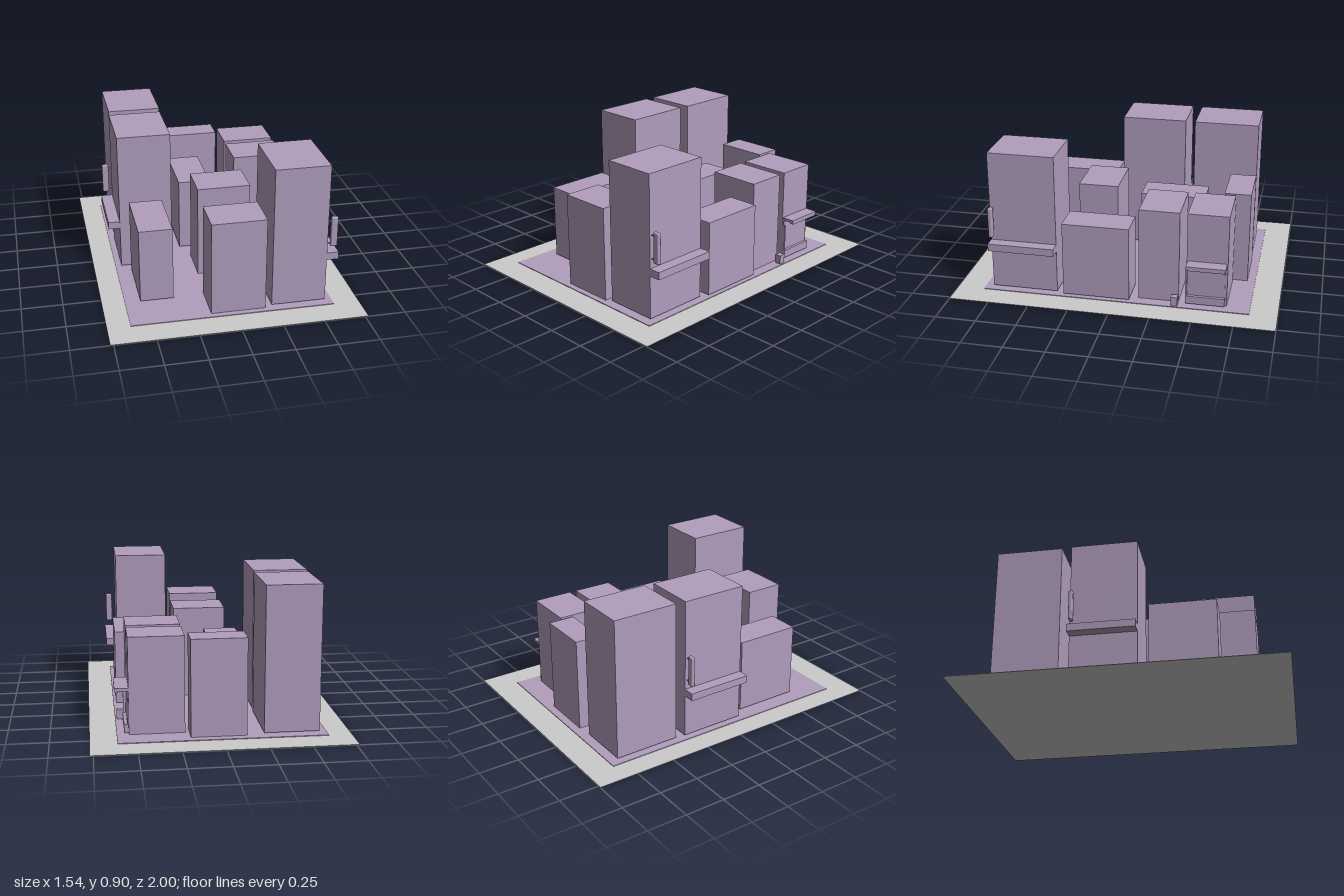
import * as THREE from 'three';
import { RoundedBoxGeometry } from 'three/addons/geometries/RoundedBoxGeometry.js';

export function createModel() {
  const model = new THREE.Group();
  const grey = new THREE.MeshStandardMaterial({ color: 0xcccccc });
  const purple = new THREE.MeshStandardMaterial({ color: 0xb19dbd });

  // Box given by its limits along each axis
  function box(name, [x0, x1], [y0, y1], [z0, z1], parent = model, material = purple) {
    const mesh = new THREE.Mesh(new THREE.BoxGeometry(x1 - x0, y1 - y0, z1 - z0), material);
    mesh.position.set((x0 + x1) / 2, (y0 + y1) / 2, (z0 + z1) / 2);
    mesh.name = name;
    parent.add(mesh);
    return mesh;
  }

  // Ground and paved block
  box('ground', [-0.77, 0.77], [0, 0.003], [-1, 1], model, grey);
  box('pavement', [-0.63, 0.61], [0.003, 0.007], [-0.83, 0.83]);

  // Three kinds of building: [bottom, top] and centres on the plan
  const kinds = [
    { name: 'tower', y: [0.015, 0.9], size: [0.333, 0.413],
      at: [[-0.42, -0.567], [-0.427, -0.092], [0.4, 0.572]] },
    { name: 'midBlock', y: [0.005, 0.597], size: [0.333, 0.25],
      at: [[0.372, -0.562], [0.372, -0.267], [0.04, 0.18], [0.025, 0.667]] },
    { name: 'lowBlock', y: [0.018, 0.487], size: [0.205, 0.413],
      at: [[-0.078, -0.267], [0.492, 0.113], [-0.435, 0.378]] },
    { name: 'narrowBlock', y: [0.005, 0.597], size: [0.333, 0.165], at: [[0.015, -0.697]] },
  ];
  for (const { name, y, size: [w, d], at } of kinds) {
    at.forEach(([x, z], i) =>
      box(name + (i + 1), [x - w / 2, x + w / 2], y, [z - d / 2, z + d / 2]));
  }

  // Canopy slab with a hanging sign above it; built on a +x wall, then turned
  function frontage(name, x, z, angle) {
    const group = new THREE.Group();
    group.name = name;
    box('canopy', [0, 0.072], [0.285, 0.332], [-0.207, 0.207], group);
    const signZ = 0.19;
    const sign = new THREE.Mesh(new RoundedBoxGeometry(0.042, 0.192, 0.026, 2, 0.008), purple);
    sign.position.set(0.041, 0.466, signZ);
    sign.name = 'sign';
    group.add(sign);
    for (const y of [0.39, 0.535]) {
      box('signBracket', [-0.005, 0.025], [y - 0.003, y + 0.003], [signZ - 0.004, signZ + 0.004], group);
    }
    group.position.set(x, 0, z);
    group.rotation.y = angle;
    model.add(group);
  }
  frontage('leftFrontage', 0.567, 0.572, 0);
  frontage('rightFrontage', -0.594, -0.092, Math.PI);

  // Shop front: awning with a lip, window, step and side post
  const shop = new THREE.Group();
  shop.name = 'shopFront';
  model.add(shop);
  box('awning', [0.535, 0.62], [0.272, 0.29], [-0.682, -0.443], shop);
  box('awningLip', [0.598, 0.618], [0.262, 0.272], [-0.676, -0.448], shop);
  box('shopWindow', [0.535, 0.546], [0.065, 0.262], [-0.675, -0.445], shop);
  box('step', [0.535, 0.565], [0.015, 0.065], [-0.675, -0.437], shop);
  box('sidePost', [0.535, 0.562], [0.065, 0.24], [-0.445, -0.435], shop);

  // Small crate on the pavement
  box('crate', [0.56, 0.6], [0.007, 0.065], [-0.393, -0.352]);

  return model;
}
